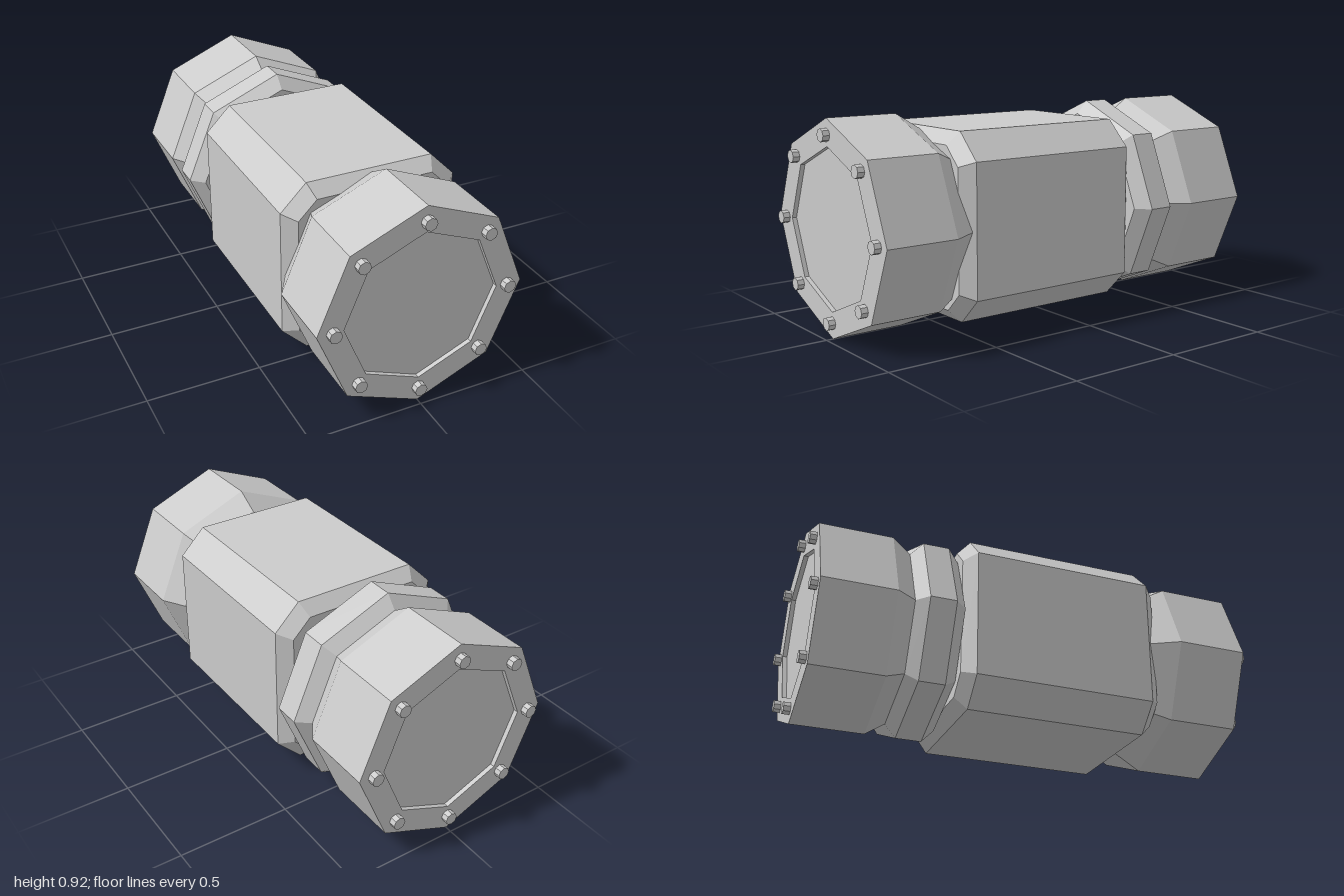
import * as THREE from 'three';

const R = 0.458; // outer radius of the octagonal parts, also the height of the axis

export function createModel() {
  const model = new THREE.Group();
  const material = new THREE.MeshStandardMaterial({ color: 0xcccccc, flatShading: true });

  const add = (name, geometry, parent = model) => {
    const mesh = new THREE.Mesh(geometry, material);
    mesh.name = name;
    parent.add(mesh);
    return mesh;
  };

  // Octagonal solid turned about the z axis from [radius, z] points, back to front
  const octagon = (profile) =>
    new THREE.LatheGeometry(profile.map(([r, z]) => new THREE.Vector2(r, z)), 8).rotateX(Math.PI / 2);

  // Central block: square section with cut corners and bevelled ends
  const h = 0.345, c = 0.263;
  const section = new THREE.Shape(
    [[c, -h], [h, -c], [h, c], [c, h], [-c, h], [-h, c], [-h, -c], [-c, -h]].map(([x, y]) => new THREE.Vector2(x, y))
  );
  add('body', new THREE.ExtrudeGeometry(section, {
    depth: 0.81, bevelEnabled: true, bevelSegments: 1, bevelSize: 0.055, bevelThickness: 0.053,
  }).translate(0, R, -0.29));

  // End cap with a shallow recess and a bolt at every corner, facing +z
  const endCap = (name, neck) => {
    const cap = new THREE.Group();
    cap.name = name;
    cap.position.y = R;
    add('capShell', octagon([[0, neck[1]], neck, [R, 0.65], [R, 0.97], [0.343, 0.97], [0.343, 0.95], [0, 0.95]]), cap);
    for (let i = 0; i < 8; i++) {
      const a = (i * Math.PI) / 4;
      const bolt = add('bolt', new THREE.CylinderGeometry(0.028, 0.028, 0.05, 8).rotateX(Math.PI / 2), cap);
      bolt.position.set(0.39 * Math.cos(a), 0.39 * Math.sin(a), 0.975);
    }
    model.add(cap);
    return cap;
  };
  endCap('frontCap', [0.368, 0.5]);
  endCap('backCap', [0.4, 0.563]).rotation.y = Math.PI;

  // Bevelled collar between the body and the back cap
  add('collar', octagon([[0, -0.563], [0.4, -0.563], [R, -0.515], [R, -0.4], [0.4, -0.345], [0, -0.345]])).position.y = R;

  return model;
}
